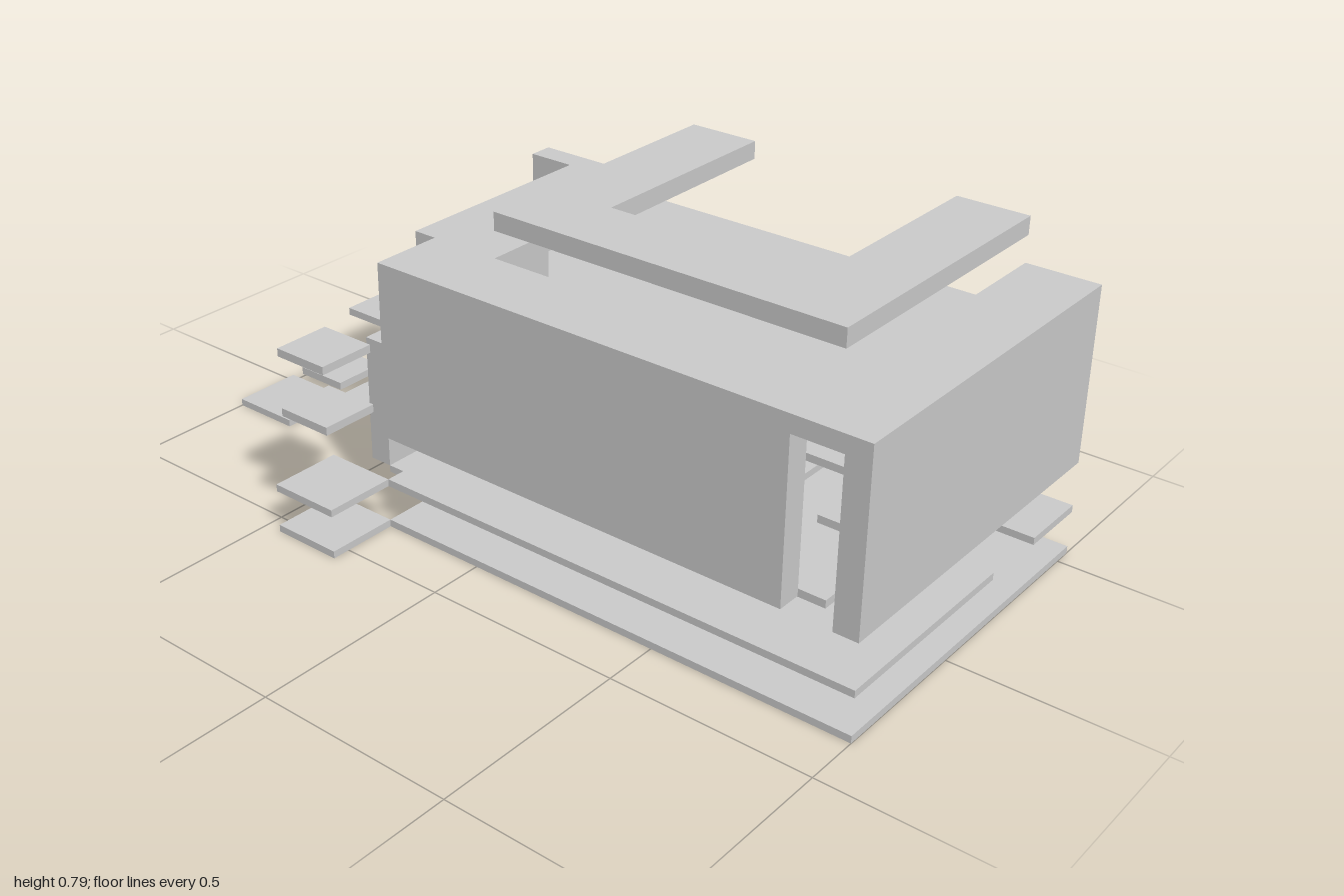
import * as THREE from 'three';

export function createModel() {
  const model = new THREE.Group();
  const stone = new THREE.MeshStandardMaterial({ color: 0xcccccc });
  stone.name = 'light grey';
  const U = 2 / 11; // grid cell

  const add = (name, geometry) => {
    const mesh = new THREE.Mesh(geometry, stone);
    mesh.name = name;
    model.add(mesh);
    return mesh;
  };
  // Box from its x, y and z limits
  const box = (name, x0, x1, y0, y1, z0, z1) => {
    add(name, new THREE.BoxGeometry(x1 - x0, y1 - y0, z1 - z0))
      .position.set((x0 + x1) / 2, (y0 + y1) / 2, (z0 + z1) / 2);
  };
  // Flat slab from a plan outline in grid cells [x, z]
  const slab = (name, y0, y1, outline) => {
    const shape = new THREE.Shape(outline.map(([x, z]) => new THREE.Vector2(x * U, -z * U)));
    const geometry = new THREE.ExtrudeGeometry(shape, { depth: y1 - y0, bevelEnabled: false });
    add(name, geometry.rotateX(-Math.PI / 2).translate(0, y0, 0));
  };
  // Small square step centred in a grid cell
  const step = (name, x, z, top) => box(name,
    x * U - 0.0727, x * U + 0.0727, top - 0.02, top, z * U - 0.0727, z * U + 0.0727);

  // Ground floor with its back path
  slab('groundFloor', 0, 0.018, [
    [-2, 5.5], [3, 5.5], [3, -2.5], [1, -2.5], [1, -4.5], [0, -4.5],
    [0, -2.5], [-1, -2.5], [-1, -1.5], [-2, -1.5],
  ]);
  box('pathEnd', -U, 0, 0, 0.018, -1, -4.5 * U);
  box('groundCorner', -3 * U, -2 * U, 0, 0.018, -2.5 * U, -1.5 * U);

  // Middle floor with a stair opening
  slab('middleFloor', 0.109, 0.127, [
    [-2, 5.5], [1, 5.5], [1, 2.5], [2, 2.5], [2, 3.5], [3, 3.5], [3, -1.5], [-2, -1.5],
  ]);
  box('middleFrontCorner', 2 * U, 3 * U, 0.109, 0.127, 4.5 * U, 1);
  box('middleBackCorner', -3 * U, -2 * U, 0.109, 0.127, -2.5 * U, -1.5 * U);

  // Upper walls
  box('frontWall', -2 * U, 3 * U, 0.238, 0.632, 0.94, 1);
  box('sideWall', -2 * U, -0.303, 0.238, 0.632, -1.5 * U, 4.5 * U);
  box('backWall', -U, 0.424, 0.238, 0.675, -0.333, -1.5 * U);
  box('backWing', 2 * U, 0.424, 0.238, 0.675, -2.5 * U, -0.333);
  box('ceiling', -0.303, 3 * U, 0.548, 0.565, -1.5 * U, 0.94);
  box('ceilingPost', -U, 0, 0.565, 0.632, -0.152, -0.091);

  // U-shaped roof and the smaller canopy above, both open to the left
  slab('roof', 0.632, 0.675, [
    [-2, 5.5], [3, 5.5], [3, 4.5], [-1, 4.5], [-1, -0.5], [3, -0.5], [3, -1.5], [-2, -1.5],
  ]);
  slab('canopy', 0.741, 0.786, [
    [-1, 4.5], [3, 4.5], [3, 3.5], [0, 3.5], [0, 0.5], [3, 0.5], [3, -0.5], [-1, -0.5],
  ]);

  // Back blocks
  box('backPost', -U, 0, 0.018, 0.35, -0.515, -2.5 * U);
  box('lowBlock', 2 * U, 3 * U, 0, 0.065, -3.5 * U, -2.5 * U);
  box('cube', 0.2, 0.345, 0.02, 0.13, -0.618, -0.473);

  // Floating steps: x cell, z cell, top height
  [
    [0.5, -5, 0.04], [1.5, -5, 0.15], [2.5, -5, 0.085],
    [-2.5, -2, 0.325], [-2.5, -2, 0.476], [1.5, -2, 0.258],
    [-0.5, 4, 0.148], [-0.5, 3, 0.148], [0.5, 4, 0.214],
    [1.5, 3, 0.258], [1.5, 2, 0.258],
  ].forEach(([x, z, top], i) => step(`step${i + 1}`, x, z, top));

  return model;
}
